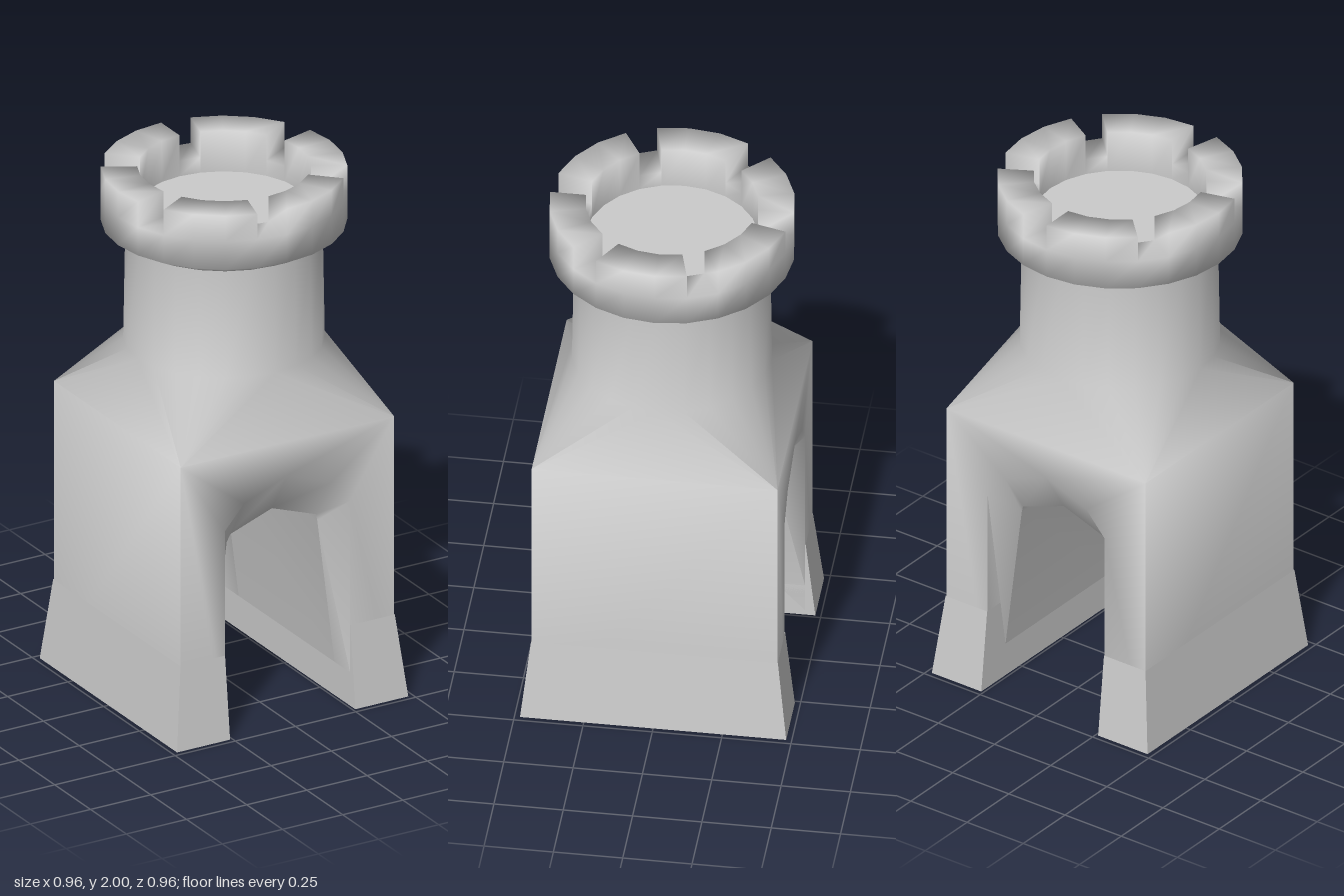
import * as THREE from 'three';
import { mergeVertices, toCreasedNormals } from 'three/addons/utils/BufferGeometryUtils.js';

const material = new THREE.MeshStandardMaterial({ color: 0xcccccc });
const thinMaterial = new THREE.MeshStandardMaterial({ color: 0xcccccc, side: THREE.DoubleSide });
const V = (x, y, z) => new THREE.Vector3(x, y, z);
const SIDES = 24, STEP = Math.PI * 2 / SIDES;
const W = 0.443, LEG_IN = 0.26, BASE = 0.02, SHOULDER = 1.09;

// Point on a horizontal ring, counted from the front towards +x
const ring = (i, r, y) => V(r * Math.sin(i * STEP), y, r * Math.cos(i * STEP));

// Collects triangles; gives a fully smooth geometry, or a creased one
function faceBuilder() {
  const points = [];
  const tri = (a, b, c) => points.push(a, b, c);
  const quad = (a, b, c, d) => { tri(a, b, c); tri(a, c, d); };
  const build = (crease) => {
    const geo = new THREE.BufferGeometry().setFromPoints(points);
    if (crease) return toCreasedNormals(geo, crease);
    const welded = mergeVertices(geo, 1e-4);
    welded.computeVertexNormals();
    return welded;
  };
  return { tri, quad, build };
}

// Mirrors a half arch (from the +x foot to the top) into a full one
const fullArch = (half) => [...half, ...half.slice(0, -1).reverse().map(([x, y]) => [-x, y])];
const mouth = fullArch([[LEG_IN, BASE], [LEG_IN, 0.13], [LEG_IN, 0.8], [0.18, 0.89], [0, 0.96]]);
const throat = fullArch([[0.274, BASE], [LEG_IN, 0.13], [0.188, 0.7], [0.182, 0.725], [0, 0.79]]);
const THROAT_Z = 0.335;

// Square two-legged body blending into the round neck
function bodyGeometry() {
  const f = faceBuilder();
  const contour = [[W, BASE], [W, SHOULDER], [-W, SHOULDER], [-W, BASE], ...mouth.slice().reverse()]
    .map(([x, y]) => new THREE.Vector2(x, y));
  const faces = THREE.ShapeUtils.triangulateShape(contour, []);
  for (const s of [1, -1]) {
    const P = (x, y, z) => V(s * x, y, s * z);
    // arched end wall
    for (const t of faces) f.tri(...t.map((i) => P(contour[i].x, contour[i].y, W)));
    // side wall
    f.quad(P(W, BASE, W), P(W, BASE, -W), P(W, SHOULDER, -W), P(W, SHOULDER, W));
    // splayed arch mouth
    for (let i = 0; i < mouth.length - 1; i++) {
      f.quad(P(...mouth[i], W), P(...mouth[i + 1], W),
        P(...throat[i + 1], THROAT_Z), P(...throat[i], THROAT_Z));
    }
  }
  // shoulders: a fan from each square corner up to the ring, then the neck
  const corner = (q) => ring(q * 6 + 3, W * Math.SQRT2, SHOULDER);
  for (let q = 0; q < 4; q++) {
    for (let i = q * 6; i < q * 6 + 6; i++) {
      f.tri(corner(q), ring(i + 1, 0.36, 1.33), ring(i, 0.36, 1.33));
      f.quad(ring(i, 0.36, 1.33), ring(i + 1, 0.36, 1.33), ring(i + 1, 0.353, 1.745), ring(i, 0.353, 1.745));
    }
    f.tri(corner(q), corner(q + 1), ring(q * 6 + 6, 0.36, 1.33));
  }
  return f.build(1.3);
}

// Passage running through the body
function passageGeometry() {
  const f = faceBuilder();
  for (let i = 0; i < throat.length - 1; i++) {
    f.quad(V(...throat[i], THROAT_Z), V(...throat[i + 1], THROAT_Z),
      V(...throat[i + 1], -THROAT_Z), V(...throat[i], -THROAT_Z));
  }
  return f.build(0.4);
}

// Flared skirt round one leg, open below, with the leg's recessed sole
function skirtGeometry() {
  const f = faceBuilder();
  const loop = (inner, o, y) => [V(inner, y, o), V(o, y, o), V(o, y, -o), V(inner, y, -o)];
  const low = loop(LEG_IN, 0.48, 0), high = loop(LEG_IN, W + 0.002, 0.315);
  const sole = loop(0.274, W, BASE);
  for (let i = 0; i < 4; i++) {
    const j = (i + 1) % 4;
    f.quad(low[i], low[j], high[j], high[i]);
  }
  f.quad(sole[3], sole[2], sole[1], sole[0]);
  return f.build(0.4);
}

// Flared parapet ring with six battlements, smooth all over
function parapetGeometry() {
  const f = faceBuilder();
  const OUT = 0.44, IN = 0.31, LOW = 1.9, FLOOR = 1.84;
  const height = (i) => ((i + SIDES) % 4 === 3 ? LOW : 2);
  // upright band of one sector between two radius/height pairs
  const band = (i, r0, y0, r1, y1) =>
    f.quad(ring(i, r0, y0), ring(i + 1, r0, y0), ring(i + 1, r1, y1), ring(i, r1, y1));
  for (let i = 0; i < SIDES; i++) {
    const h = height(i), before = height(i - 1);
    band(i, 0.353, 1.745, OUT, 1.79);
    band(i, OUT, 1.79, OUT, LOW);
    if (h > LOW) band(i, OUT, LOW, OUT, h);
    band(i, OUT, h, IN, h);
    band(i, IN, h, IN, FLOOR);
    // end walls of the battlements
    const end = [ring(i, OUT, LOW), ring(i, IN, LOW), ring(i, IN, 2), ring(i, OUT, 2)];
    if (h < before) f.quad(...end);
    if (h > before) f.quad(...end.reverse());
  }
  return f.build();
}

export function createModel() {
  const group = new THREE.Group();
  const add = (name, geo, mat = material) => {
    const mesh = new THREE.Mesh(geo, mat);
    mesh.name = name;
    group.add(mesh);
    return mesh;
  };

  add('towerBody', bodyGeometry());
  add('archPassage', passageGeometry());

  // Leg skirts; the right one is the left turned half round
  add('leftLegSkirt', skirtGeometry(), thinMaterial);
  add('rightLegSkirt', skirtGeometry(), thinMaterial).rotation.y = Math.PI;

  // Battlements and the sunken floor inside them
  add('parapet', parapetGeometry());
  add('parapetFloor', new THREE.CircleGeometry(0.31, SIDES).rotateX(-Math.PI / 2).translate(0, 1.84, 0));

  return group;
}
